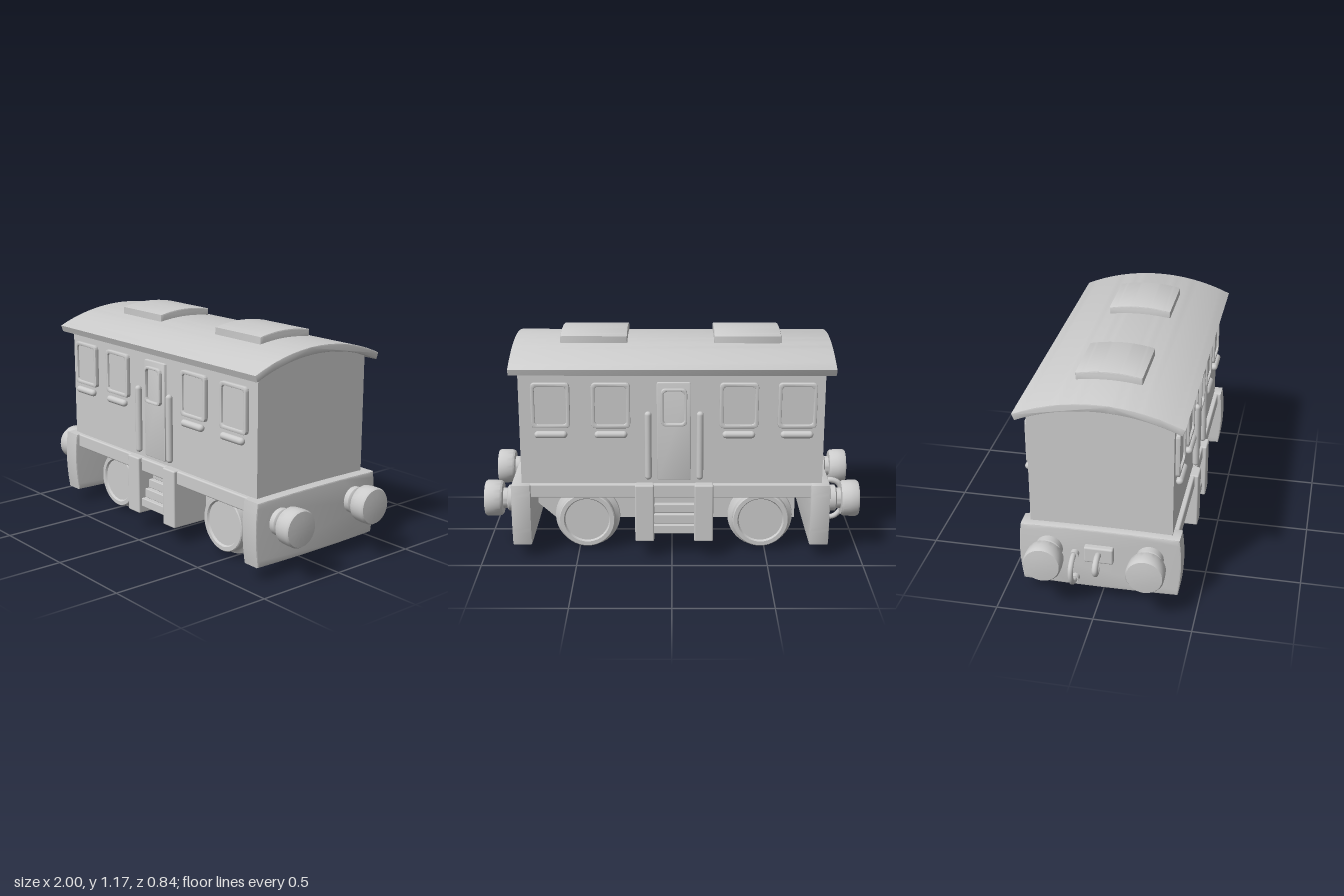
import * as THREE from 'three';
import { toCreasedNormals } from 'three/addons/utils/BufferGeometryUtils.js';
import { RoundedBoxGeometry } from 'three/addons/geometries/RoundedBoxGeometry.js';

const mat = new THREE.MeshStandardMaterial({ color: 0xcccccc, side: THREE.DoubleSide });

function add(parent, name, geo, x = 0, y = 0, z = 0) {
  const m = new THREE.Mesh(geo, mat);
  m.name = name;
  m.position.set(x, y, z);
  parent.add(m);
  return m;
}

// Box given by its limits on each axis, with slightly rounded edges
function box(parent, name, [x0, x1], [y0, y1], [z0, z1], r = 0.008) {
  const geo = new RoundedBoxGeometry(x1 - x0, y1 - y0, z1 - z0, 2, r);
  return add(parent, name, geo, (x0 + x1) / 2, (y0 + y1) / 2, (z0 + z1) / 2);
}

// Extrusion with softened edges that stays inside the outline
function extrude(shape, depth, b = 0) {
  const geo = new THREE.ExtrudeGeometry(shape, {
    depth: depth - 2 * b, bevelEnabled: b > 0, bevelThickness: b, bevelSize: b,
    bevelOffset: -b, bevelSegments: 2, curveSegments: 20,
  });
  geo.translate(0, 0, b);
  return toCreasedNormals(geo, 0.6);
}

// Cross-section in z and y, run along x from x0 to x1
function alongX(shape, x0, x1, b) {
  return extrude(shape, x1 - x0, b).rotateY(Math.PI / 2).translate(x0, 0, 0);
}

// Points of a shallow roof arc from -w to w
function arc(w, crown, edge, n = 28) {
  const R = (w * w + (crown - edge) ** 2) / (2 * (crown - edge));
  return Array.from({ length: n + 1 }, (_, i) => {
    const z = -w + (2 * w * i) / n;
    return new THREE.Vector2(z, crown - R + Math.sqrt(R * R - z * z));
  });
}

function roundRect(w, h, r, Type = THREE.Shape) {
  const s = new Type(), x = w / 2, y = h / 2;
  s.moveTo(-x + r, -y).lineTo(x - r, -y);
  s.quadraticCurveTo(x, -y, x, -y + r).lineTo(x, y - r);
  s.quadraticCurveTo(x, y, x - r, y).lineTo(-x + r, y);
  s.quadraticCurveTo(-x, y, -x, y - r).lineTo(-x, -y + r);
  s.quadraticCurveTo(-x, -y, -x + r, -y);
  return s;
}

function lathe(points) {
  const geo = new THREE.LatheGeometry(points.map(p => new THREE.Vector2(...p)), 40);
  return toCreasedNormals(geo, 0.6);
}

function frame(w, h, t, depth, r) {
  const s = roundRect(w, h, r);
  s.holes.push(roundRect(w - 2 * t, h - 2 * t, r * 0.8, THREE.Path));
  return extrude(s, depth, 0.005);
}

// Windows, door and handrails for one side wall
function sideFittings() {
  const g = new THREE.Group();
  for (const x of [-0.645, -0.345, 0.315, 0.625]) {
    add(g, 'windowFrame', frame(0.2, 0.24, 0.019, 0.03, 0.025), x, 0.837, 0.355);
    add(g, 'windowPane', extrude(roundRect(0.17, 0.21, 0.02), 0.018), x, 0.837, 0.355);
    add(g, 'windowSill', new THREE.CapsuleGeometry(0.019, 0.132, 6, 14).rotateZ(Math.PI / 2), x, 0.683, 0.381);
  }
  add(g, 'door', extrude(roundRect(0.176, 0.53, 0.012), 0.03, 0.005), -0.01, 0.695, 0.348);
  add(g, 'doorWindowFrame', frame(0.136, 0.2, 0.014, 0.03, 0.03), -0.01, 0.83, 0.366);
  for (const x of [-0.145, 0.123])
    add(g, 'handrail', new THREE.CapsuleGeometry(0.018, 0.334, 6, 14), x, 0.623, 0.382);
  return g;
}

// Sprung bumper pointing along +x from the beam face
function bumper() {
  return lathe([[0, 0], [0.07, 0], [0.07, 0.038], [0.062, 0.044], [0.055, 0.046], [0.055, 0.068],
    [0.086, 0.07], [0.094, 0.08], [0.097, 0.115], [0.097, 0.152], [0.09, 0.163], [0.05, 0.167], [0, 0.168]])
    .rotateZ(-Math.PI / 2);
}

function tube(points, r) {
  const curve = new THREE.CatmullRomCurve3(points.map(p => new THREE.Vector3(...p)));
  return new THREE.TubeGeometry(curve, 32, r, 12);
}

export function createModel() {
  const g = new THREE.Group();
  g.name = 'railwayCarriage';

  // Body with arched gable ends
  const bodyShape = new THREE.Shape([new THREE.Vector2(0.363, 0.4), ...arc(0.363, 1.092, 1.03).reverse(),
    new THREE.Vector2(-0.363, 0.4)]);
  add(g, 'body', alongX(bodyShape, -0.787, 0.789, 0));

  // Curved roof with two raised hatches
  const roof = new THREE.Shape([...arc(0.42, 1.13, 1.038), ...arc(0.407, 1.09, 1.004).reverse()]);
  add(g, 'roof', alongX(roof, -0.835, 0.832, 0.004));
  const hatch = new THREE.Shape([...arc(0.168, 1.172, 1.153), new THREE.Vector2(0.168, 1.09),
    new THREE.Vector2(-0.168, 1.09)]);
  for (const x of [-0.572, 0.234]) add(g, 'roofHatch', alongX(hatch, x, x + 0.351, 0.008));

  // Both side walls
  for (const s of [1, -1]) {
    const side = sideFittings();
    side.name = s > 0 ? 'frontFittings' : 'backFittings';
    if (s < 0) {
      side.children.forEach(m => { m.position.x *= -1; });
      side.rotation.y = Math.PI;
    }
    g.add(side);
  }

  // Floor and underframe with one sloped lower corner
  box(g, 'floor', [-0.76, 0.76], [0.335, 0.41], [-0.388, 0.388]);
  const under = new THREE.Shape([[-0.665, 0.15], [0.63, 0.15], [0.725, 0.235], [0.725, 0.34], [-0.665, 0.34]]
    .map(p => new THREE.Vector2(...p)));
  add(g, 'underframe', extrude(under, 0.39).translate(0, 0, -0.195));

  // Steps between two cross members
  for (const x of [-0.217, 0.094]) box(g, 'stepSupport', [x, x + 0.1], [0.097, 0.412], [-0.41, 0.41]);
  [[0.135, 0.182, 0.39], [0.182, 0.232, 0.365], [0.232, 0.28, 0.34], [0.28, 0.336, 0.315]].forEach(([y0, y1, d]) =>
    box(g, 'step', [-0.13, 0.105], [y0, y1], [-d, d], 0.004));

  // Wheels and axles
  const wheel = lathe([[0, 0], [0.168, 0], [0.175, 0.006], [0.173, 0.018], [0.157, 0.028], [0.15, 0.036],
    [0.15, 0.08], [0.145, 0.085], [0.124, 0.085], [0.117, 0.074], [0, 0.074]]);
  for (const x of [-0.475, 0.455]) {
    add(g, 'axle', new THREE.CylinderGeometry(0.06, 0.06, 0.46, 28).rotateX(Math.PI / 2), x, 0.165, 0);
    for (const s of [1, -1])
      add(g, 'wheel', wheel, x, 0.175, s * 0.215).rotation.x = s * Math.PI / 2;
  }

  // End beams with bulging ends, and four bumpers
  const beam = new THREE.Shape();
  beam.moveTo(-0.4, 0.076).quadraticCurveTo(0, 0.064, 0.4, 0.076);
  beam.quadraticCurveTo(0.43, 0.25, 0.405, 0.41);
  beam.quadraticCurveTo(0, 0.422, -0.405, 0.41);
  beam.quadraticCurveTo(-0.43, 0.25, -0.4, 0.076);
  add(g, 'leftEndBeam', alongX(beam, 0.74, 0.842, 0.008));
  add(g, 'rightEndBeam', alongX(beam, -0.828, -0.726, 0.008));
  for (const s of [1, -1])
    for (const z of [-0.258, 0.258])
      add(g, 'bumper', bumper(), s * 0.832, 0.288, z).rotation.y = s > 0 ? 0 : Math.PI;

  // Coupling hook on its plate
  box(g, 'hookPlate', [-0.86, -0.82], [0.24, 0.33], [-0.075, 0.075], 0.01);
  add(g, 'couplingHook', tube([[-0.84, 0.29, 0], [-0.89, 0.295, 0], [-0.925, 0.28, 0],
    [-0.94, 0.25, 0], [-0.925, 0.225, 0], [-0.9, 0.235, 0]], 0.016));
  add(g, 'hookTip', new THREE.SphereGeometry(0.016, 12, 8), -0.9, 0.235, 0);

  // Brake hose with end collars
  add(g, 'brakeHose', tube([[-0.82, 0.27, -0.128], [-0.88, 0.268, -0.128], [-0.925, 0.235, -0.128],
    [-0.928, 0.18, -0.127], [-0.895, 0.135, -0.126], [-0.82, 0.12, -0.125]], 0.014));
  for (const y of [0.27, 0.122])
    add(g, 'hoseCollar', new THREE.CylinderGeometry(0.022, 0.022, 0.03, 18).rotateZ(Math.PI / 2), -0.84, y, -0.126);

  return g;
}
